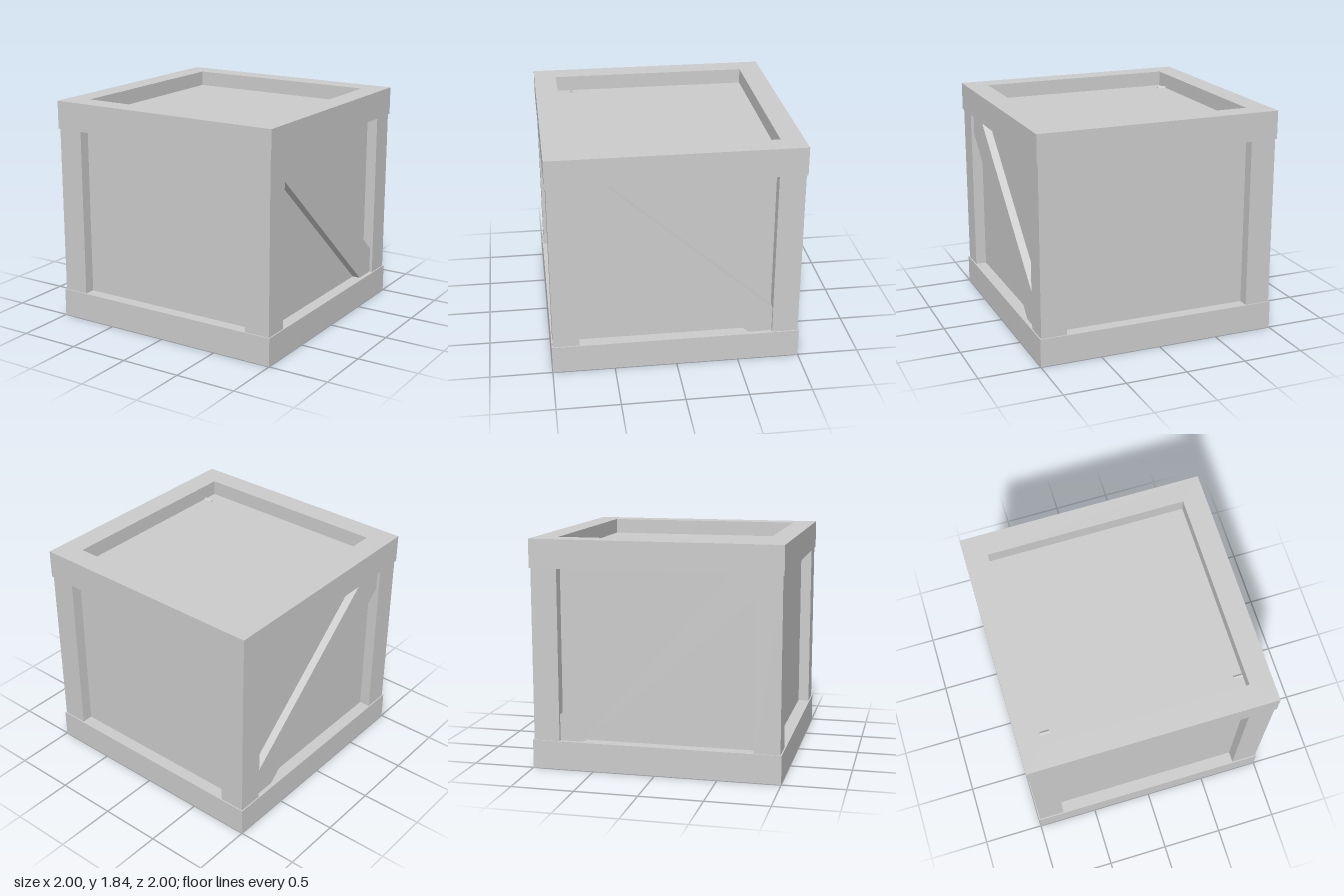
import * as THREE from 'three';

const material = new THREE.MeshStandardMaterial({ color: 0xcccccc, flatShading: true, side: THREE.DoubleSide });

function add(group, name, geometry, x = 0, y = 0, z = 0) {
  const mesh = new THREE.Mesh(geometry, material);
  mesh.name = name;
  mesh.position.set(x, y, z);
  group.add(mesh);
  return mesh;
}

// Square outline with half-size r
const square = (Kind, r) =>
  new Kind([[-r, -r], [r, -r], [r, r], [-r, r]].map(([x, y]) => new THREE.Vector2(x, y)));

// Flat square ring lying in the ground plane; depth 0 gives a thin sheet
function ring(outer, inner, depth) {
  const shape = square(THREE.Shape, outer);
  shape.holes.push(square(THREE.Path, inner));
  const geometry = depth
    ? new THREE.ExtrudeGeometry(shape, { depth, bevelEnabled: false })
    : new THREE.ShapeGeometry(shape);
  return geometry.rotateX(-Math.PI / 2);
}

// Four upright sheets around the centre
function walls(group, name, r, bottom, top) {
  for (let i = 0; i < 4; i++) {
    const sheet = new THREE.PlaneGeometry(2 * r, top - bottom)
      .translate(0, (bottom + top) / 2, r)
      .rotateY((i * Math.PI) / 2);
    add(group, name, sheet);
  }
}

export function createModel() {
  const crate = new THREE.Group();
  crate.name = 'crate';

  // Top frame with its recessed lid
  add(crate, 'topFrame', ring(1, 0.815, 0.23), 0, 1.61, 0);
  add(crate, 'lidPanel', new THREE.PlaneGeometry(1.8, 1.8).rotateX(-Math.PI / 2), 0, 1.715, 0);

  // Hollow base band, open underneath, with ledges above
  walls(crate, 'baseBand', 1, 0, 0.23);
  add(crate, 'baseLedge', ring(1, 0.9, 0), 0, 0.23, 0);
  add(crate, 'innerLedge', ring(0.9, 0.82, 0), 0, 0.23, 0);

  // Recessed side panels
  walls(crate, 'sidePanel', 0.9, 0.02, 1.715);

  // Corner posts
  for (const x of [-1, 1])
    for (const z of [-1, 1])
      add(crate, 'cornerPost', new THREE.BoxGeometry(0.21, 1.56, 0.21), x * 0.885, 0.83, z * 0.885);

  // Diagonal braces on the two sides, high at the front
  for (const x of [-1, 1]) {
    const brace = add(crate, 'diagonalBrace', new THREE.BoxGeometry(0.225, 0.286, 2.086), x * 0.8525, 0.935, 0);
    brace.rotation.x = -Math.atan(0.875);
  }

  return crate;
}
